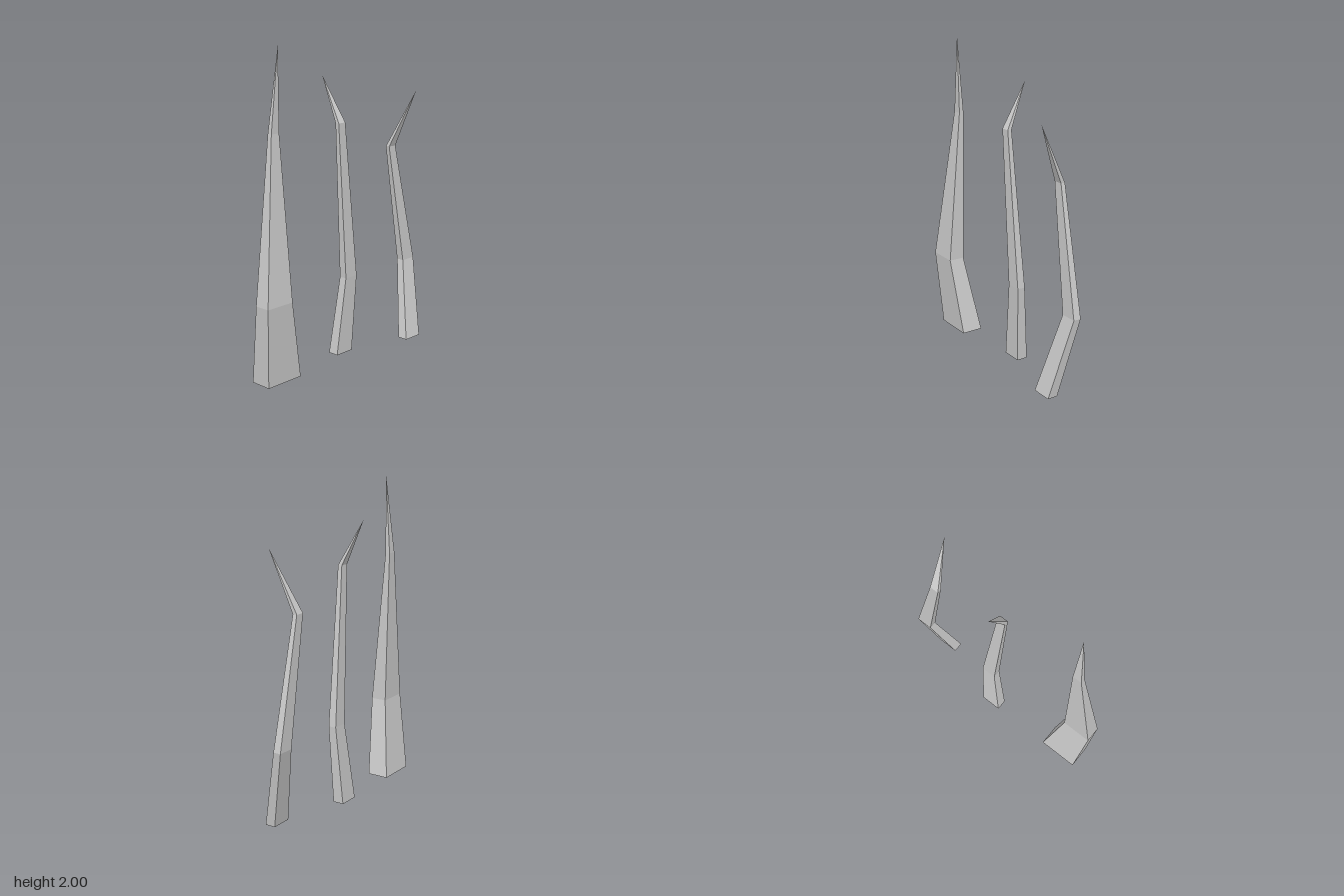
import * as THREE from 'three';

const material = new THREE.MeshStandardMaterial({ color: 0xcccccc, flatShading: true });

// Spike from rectangular sections [y, xMin, xMax, zMin, zMax], closed below and ending in a point
function spike(name, sections, tip) {
  const rings = sections.map(([y, x0, x1, z0, z1]) => [
    [x0, y, z1], [x1, y, z1], [x1, y, z0], [x0, y, z0],
  ]);
  const pos = [];
  const tri = (a, b, c) => pos.push(...a, ...b, ...c);
  const quad = (a, b, c, d) => { tri(a, b, c); tri(a, c, d); };

  for (let k = 0; k < 4; k++) {
    const n = (k + 1) % 4;
    for (let i = 0; i < rings.length - 1; i++) {
      quad(rings[i][k], rings[i][n], rings[i + 1][n], rings[i + 1][k]);
    }
    const top = rings[rings.length - 1];
    tri(top[k], top[n], tip);
  }
  const [a, b, c, d] = rings[0];
  quad(d, c, b, a);

  const geometry = new THREE.BufferGeometry();
  geometry.setAttribute('position', new THREE.Float32BufferAttribute(pos, 3));
  geometry.computeVertexNormals();
  const mesh = new THREE.Mesh(geometry, material);
  mesh.name = name;
  return mesh;
}

export function createModel() {
  const group = new THREE.Group();
  group.name = 'spikes';

  // Tall, thick spike
  group.add(spike('tallSpike', [
    [0, -0.677, -0.416, -0.072, 0.068],
    [0.505, -0.706, -0.512, 0.003, 0.106],
    [1.5, -0.576, -0.516, -0.016, 0.014],
  ], [-0.522, 2, 0.02]));

  // Middle spike, tip bent backward
  group.add(spike('middleSpike', [
    [0, -0.02, 0.115, -0.077, -0.006],
    [0.505, 0.042, 0.14, -0.04, 0.012],
    [1.5, -0.025, 0.032, -0.013, 0.014],
  ], [-0.01, 1.78, -0.141]));

  // Short spike, tip bent forward
  group.add(spike('shortSpike', [
    [0, 0.496, 0.63, 0.067, 0.134],
    [0.505, 0.597, 0.703, -0.04, 0.01],
    [1.29, 0.47, 0.53, -0.04, -0.012],
  ], [0.545, 1.66, 0.143]));

  return group;
}
